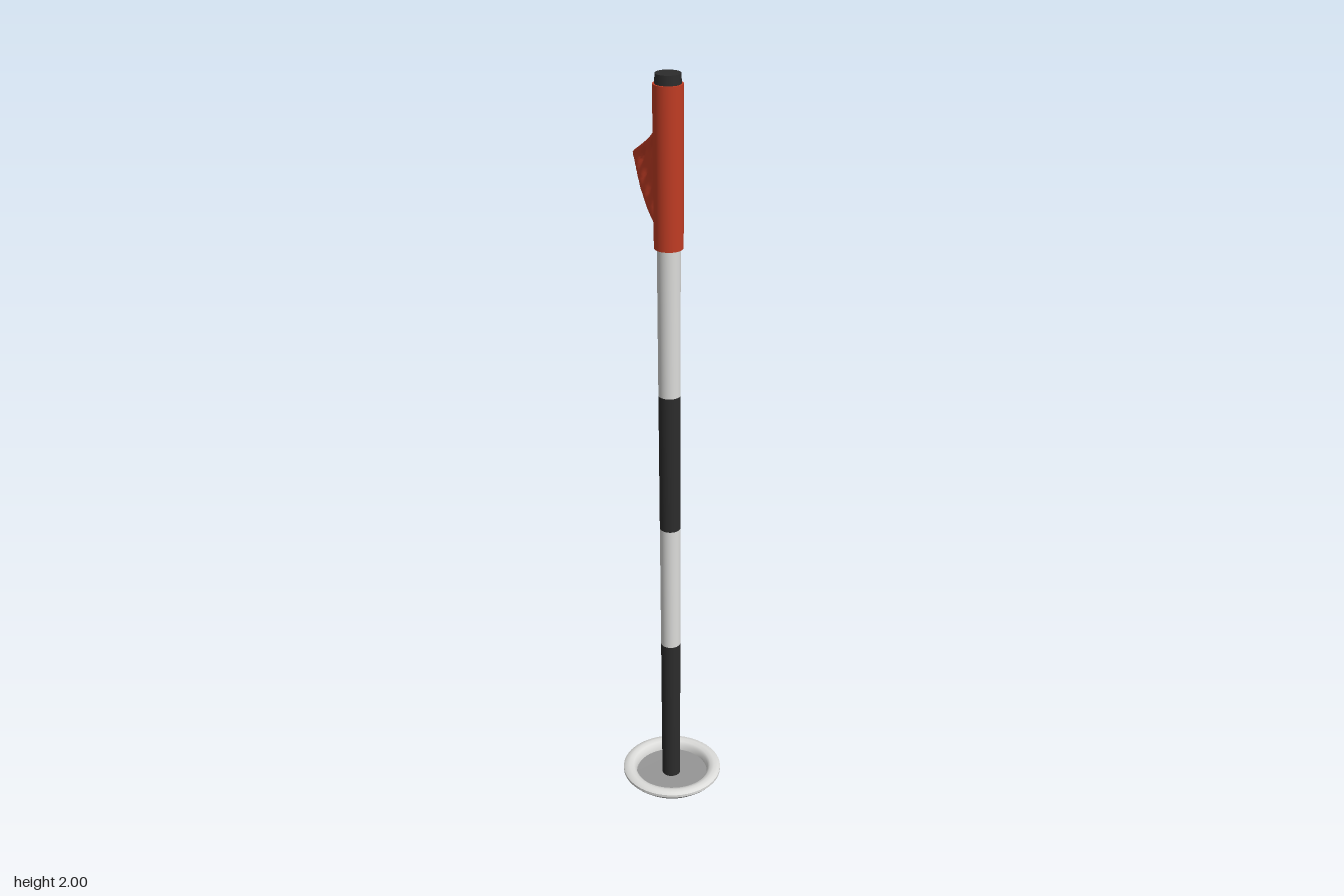
import * as THREE from 'three';
import { toCreasedNormals } from 'three/addons/utils/BufferGeometryUtils.js';

const POLE_Z = 0.164;
const poleX = (y) => 0.055 - 0.0045 * y; // the pole leans slightly

function material(name, color) {
  const m = new THREE.MeshStandardMaterial({ color });
  m.name = name;
  return m;
}

// Upright cylinder from y0 to y1 following the pole's lean
function poleSection(name, y0, y1, r0, r1, mat) {
  const geo = new THREE.CylinderGeometry(r1, r0, y1 - y0, 32, 1);
  const p = geo.attributes.position;
  for (let i = 0; i < p.count; i++) {
    const y = p.getY(i) + (y0 + y1) / 2;
    p.setXYZ(i, p.getX(i) + poleX(y), y, p.getZ(i) + POLE_Z);
  }
  const mesh = new THREE.Mesh(geo, mat);
  mesh.name = name;
  return mesh;
}

// Turned part of the base dish
function dishPart(name, points, mat) {
  const geo = new THREE.LatheGeometry(points.map(([r, y]) => new THREE.Vector2(r, y)), 48);
  const mesh = new THREE.Mesh(toCreasedNormals(geo, 0.7), mat);
  mesh.position.set(0.057, 0, 0.165);
  mesh.name = name;
  return mesh;
}

// Thick triangular pennant, bowed along its length and rippled between its hems
function pennantGeometry() {
  const start = new THREE.Vector3(0.042, 0, 0.145);
  const tip = new THREE.Vector3(-0.175, 0, -0.288);
  const dir = tip.clone().sub(start).normalize();
  const side = new THREE.Vector3().crossVectors(dir, new THREE.Vector3(0, 1, 0));
  const S = 48, V = 32, ring = 2 * (V + 1);
  const pos = [], index = [];
  for (let i = 0; i <= S; i++) {
    const s = i / S;
    const low = 1.58 + 0.075 * Math.pow(s, 0.85);
    const high = 1.965 - 0.283 * s - 0.012 * Math.sin(Math.PI * s);
    for (let j = 0; j < ring; j++) {
      const front = j <= V;
      const k = (front ? j : ring - 1 - j) / V;
      const v = 0.5 - 0.5 * Math.cos(Math.PI * k);   // denser rows at the hems
      const y = low + (high - low) * v;
      const edge = Math.min(v, 1 - v) * (high - low); // distance to nearest hem
      const inner = THREE.MathUtils.smoothstep(edge, 0.015, 0.05);
      const round = Math.sqrt(Math.min(1, 0.2 + edge / 0.012));
      const half = (0.019 - 0.007 * inner) * round;
      const bow = Math.sin(Math.PI * s) * (0.027 * v - 0.012 * (1 - v));
      const ripple = 0.004 * inner * Math.sin(38 * Math.hypot(s * 0.9, (1.66 - y) * 2.2));
      const off = bow + ripple + (front ? half : -half);
      const q = start.clone().lerp(tip, s).addScaledVector(side, off);
      pos.push(q.x, y, q.z);
    }
  }
  for (let i = 0; i < S; i++) {
    for (let j = 0; j < ring; j++) {
      const a = i * ring + j, b = i * ring + (j + 1) % ring;
      index.push(a, a + ring, b + ring, a, b + ring, b);
    }
  }
  // Closed tip
  const last = S * ring;
  for (let j = 1; j < ring - 1; j++) index.push(last, last + j + 1, last + j);
  const geo = new THREE.BufferGeometry();
  geo.setAttribute('position', new THREE.Float32BufferAttribute(pos, 3));
  geo.setIndex(index);
  return toCreasedNormals(geo, 0.9);
}

export function createModel() {
  const model = new THREE.Group();
  model.name = 'flagpole';
  const black = material('black', 0x2c2c2c);
  const white = material('white', 0xdcdcda);
  const grey = material('grey', 0x969696);
  const red = material('red', 0xc03c24);

  // Base dish: grey bowl and floor, white rolled rim
  model.add(
    dishPart('dishUnderside', [[0, 0.002], [0.06, 0.003], [0.085, 0.008], [0.112, 0.02], [0.129, 0.035]], grey),
    dishPart('dishRim', [[0.129, 0.035], [0.135, 0.042], [0.135, 0.049], [0.129, 0.054], [0.118, 0.056],
      [0.107, 0.053], [0.1, 0.046], [0.098, 0.03]], white),
    dishPart('dishFloor', [[0.098, 0.03], [0, 0.028]], grey),
  );

  // Alternating pole bands
  const bands = [0.02, 0.455, 0.81, 1.19, 1.6];
  for (let i = 0; i < 4; i++) {
    model.add(poleSection('poleBand' + (i + 1), bands[i], bands[i + 1],
      0.025 + 0.001 * i, 0.026 + 0.001 * i, i % 2 ? white : black));
  }

  // Flag sleeve, pennant and pole cap
  model.add(poleSection('flagSleeve', 1.578, 1.976, 0.036, 0.037, red));
  const pennant = new THREE.Mesh(pennantGeometry(), red);
  pennant.name = 'pennant';
  model.add(pennant);
  model.add(poleSection('poleCap', 1.96, 2.0, 0.033, 0.031, black));
  return model;
}
